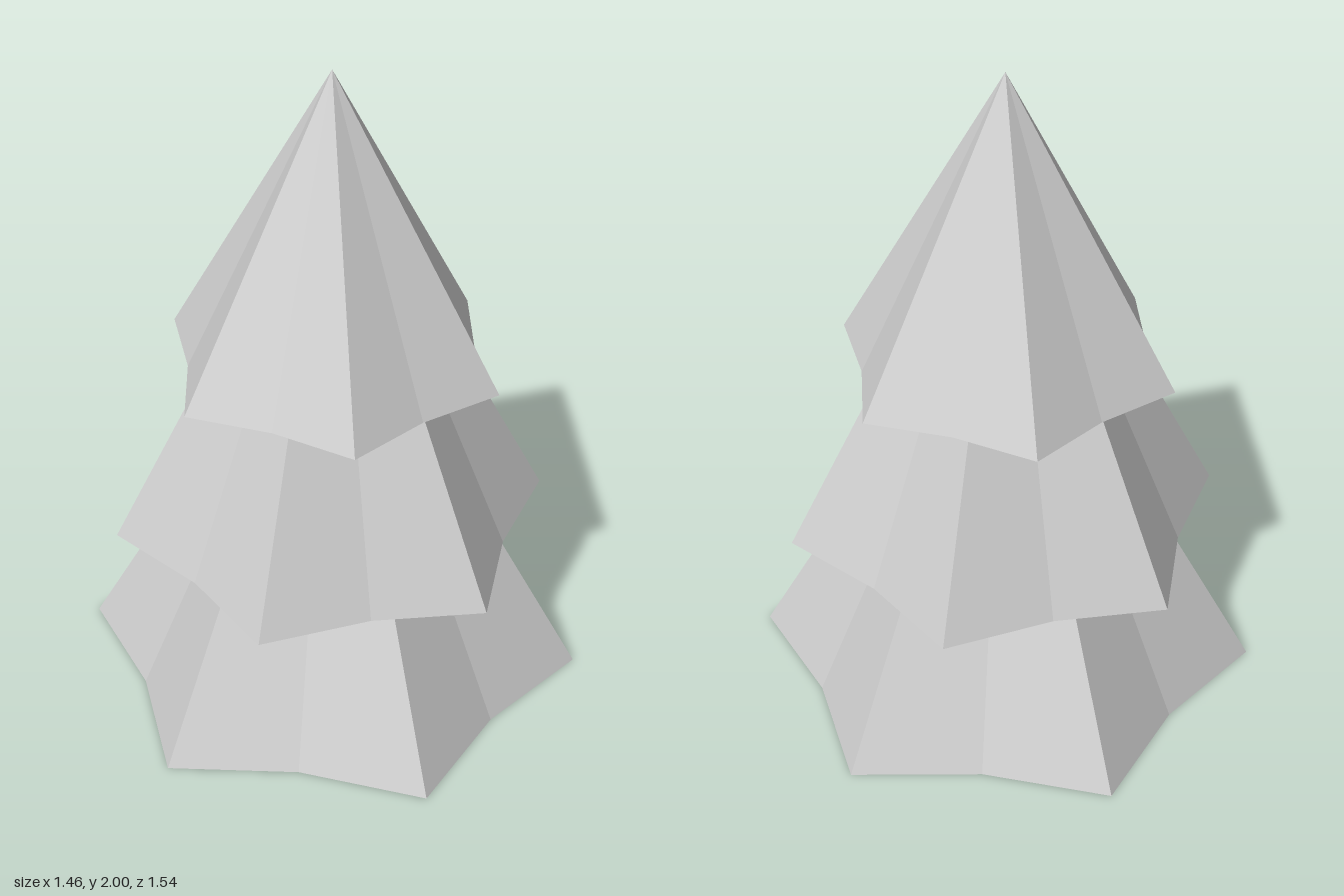
import * as THREE from 'three';

const POINTS = 6;

// Six-pointed cone: every second rim vertex is pulled inward, faces are flat
function starCone(tip, valley, base, apex, turn) {
  const height = apex - base;
  const cone = new THREE.ConeGeometry(tip, height, POINTS * 2, 1);
  const pos = cone.attributes.position;
  for (let i = 0; i < pos.count; i++) {
    const x = pos.getX(i), z = pos.getZ(i);
    if (Math.hypot(x, z) < 0.01) continue;
    const step = Math.round(Math.atan2(x, z) / (Math.PI / POINTS));
    if (step % 2 !== 0) {
      pos.setX(i, x * valley / tip);
      pos.setZ(i, z * valley / tip);
    }
  }
  cone.rotateY(THREE.MathUtils.degToRad(turn));
  cone.translate(0, base + height / 2, 0);
  const flat = cone.toNonIndexed();
  flat.computeVertexNormals();
  return flat;
}

export function createModel() {
  const group = new THREE.Group();
  group.name = 'tree';
  const foliage = new THREE.MeshStandardMaterial({ color: 0xcccccc });
  foliage.name = 'paleGrey';

  // Three overlapping tiers, each turned differently
  const tiers = [
    { name: 'lowerTier', tip: 0.78, valley: 0.63, base: 0, apex: 1.39, turn: 9 },
    { name: 'middleTier', tip: 0.67, valley: 0.545, base: 0.518, apex: 1.81, turn: 30 },
    { name: 'upperTier', tip: 0.52, valley: 0.425, base: 1.08, apex: 2, turn: -5 },
  ];
  for (const t of tiers) {
    const mesh = new THREE.Mesh(starCone(t.tip, t.valley, t.base, t.apex, t.turn), foliage);
    mesh.name = t.name;
    group.add(mesh);
  }
  return group;
}
